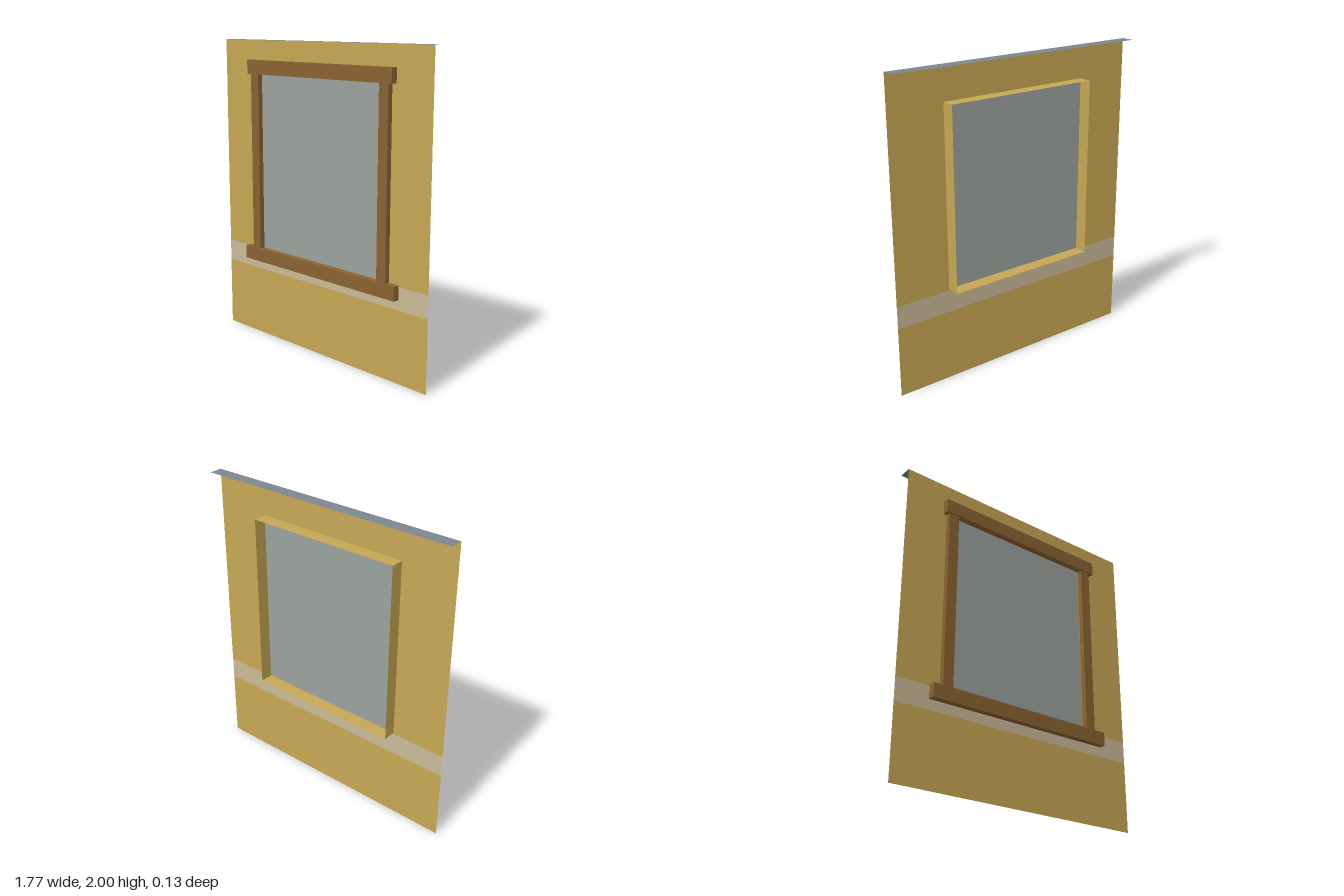
import * as THREE from 'three';

const material = (name, color) => new THREE.MeshStandardMaterial({ name, color, side: THREE.DoubleSide });

export function createModel() {
  const plaster = material('ochre plaster', 0xc6a753);
  const band = material('pale band', 0xc9bb98);
  const wood = material('brown wood', 0x8b6332);
  const glass = material('grey glass', 0x9ba29d);
  const slate = material('slate capping', 0x7b8791);

  const W = 0.887, H = 2;                             // wall half width and height
  const FRONT = 0.021, BACK = -0.066;                 // wall plane and rear of the reveal
  const L = -0.524, R = 0.516, B = 0.615, T = 1.783;  // window opening
  const DEPTH = FRONT - BACK, MID = (FRONT + BACK) / 2;

  const model = new THREE.Group();
  model.name = 'windowWall';

  const add = (parent, name, geometry, mat, x, y, z) => {
    const mesh = new THREE.Mesh(geometry, mat);
    mesh.name = name;
    mesh.position.set(x, y, z);
    parent.add(mesh);
    return mesh;
  };
  const group = (name) => {
    const g = new THREE.Group();
    g.name = name;
    model.add(g);
    return g;
  };
  // Upright sheet facing forward, given by its edges
  const sheet = (parent, name, mat, x0, x1, y0, y1) =>
    add(parent, name, new THREE.PlaneGeometry(x1 - x0, y1 - y0), mat, (x0 + x1) / 2, (y0 + y1) / 2, FRONT);

  // Thin wall: lower panel, pale band, and upper panel with the opening
  const wall = group('wall');
  sheet(wall, 'lowerWall', plaster, -W, W, 0, 0.461);
  sheet(wall, 'wallBand', band, -W, W, 0.461, 0.605);
  const rect = (path, x0, x1, y0, y1) =>
    path.moveTo(x0, y0).lineTo(x1, y0).lineTo(x1, y1).lineTo(x0, y1).closePath();
  const upper = new THREE.Shape();
  rect(upper, -W, W, 0.605, H);
  const opening = new THREE.Path();
  rect(opening, L, R, B, T);
  upper.holes.push(opening);
  add(wall, 'upperWall', new THREE.ShapeGeometry(upper), plaster, 0, 0, FRONT);

  // Capping along the top edge, reaching backwards
  add(model, 'topCapping', new THREE.PlaneGeometry(2 * W, DEPTH).rotateX(-Math.PI / 2), slate, 0, H, MID);

  sheet(model, 'windowPane', glass, L, R, B, T);

  // Open reveal projecting behind the wall
  const reveal = group('reveal');
  for (const [name, x] of [['revealRight', L], ['revealLeft', R]])
    add(reveal, name, new THREE.PlaneGeometry(DEPTH, T - B).rotateY(Math.PI / 2), plaster, x, (B + T) / 2, MID);
  for (const [name, y] of [['revealBottom', B], ['revealTop', T]])
    add(reveal, name, new THREE.PlaneGeometry(R - L, DEPTH).rotateX(-Math.PI / 2), plaster, (L + R) / 2, y, MID);

  // Wooden surround, set just clear of the wall plane
  const surround = group('windowSurround');
  const board = (name, x0, x1, y0, y1, front) => {
    const back = FRONT + 0.002;
    add(surround, name, new THREE.BoxGeometry(x1 - x0, y1 - y0, front - back), wood,
      (x0 + x1) / 2, (y0 + y1) / 2, (front + back) / 2);
  };
  board('rightPost', -0.594, -0.523, B, T, 0.057);
  board('leftPost', 0.522, 0.593, B, T, 0.057);
  board('headBoard', -0.619, 0.624, T, 1.873, 0.066);
  board('sillBoard', -0.662, 0.668, 0.526, B, 0.066);

  return model;
}
